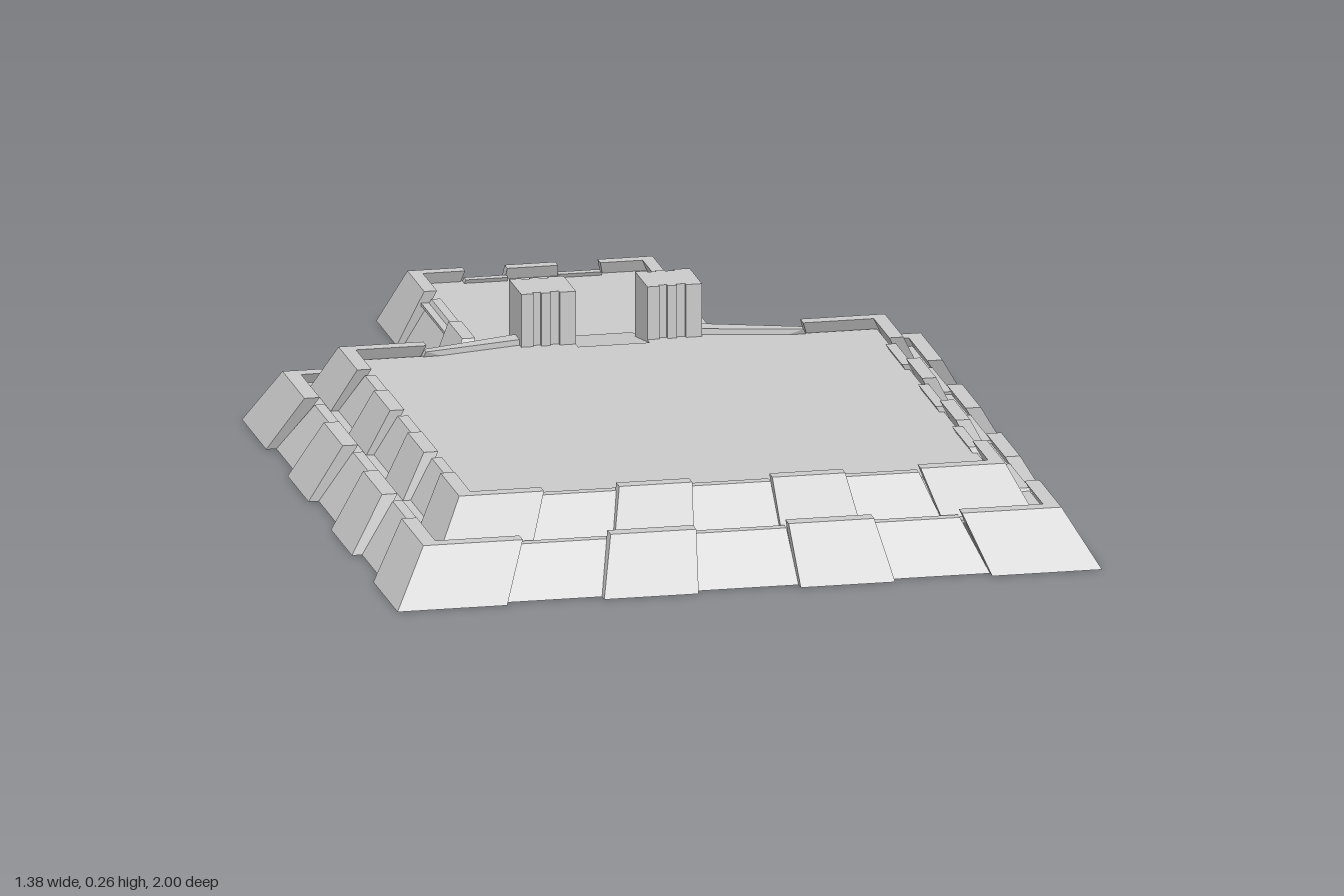
import * as THREE from 'three';
import { ConvexGeometry } from 'three/addons/geometries/ConvexGeometry.js';

const stone = new THREE.MeshStandardMaterial({ color: 0xcccccc, flatShading: true, side: THREE.DoubleSide });

function add(parent, name, geometry, x = 0, y = 0, z = 0) {
  const mesh = new THREE.Mesh(geometry, stone);
  mesh.name = name;
  mesh.position.set(x, y, z);
  parent.add(mesh);
  return mesh;
}

const hull = (points) => new ConvexGeometry(points.map((p) => new THREE.Vector3(...p)));

// One leaning wall block, facing local +z, on a square terrace of half-width H.
function wallBlock(parent, t, a, b, tall) {
  const recess = tall ? 0 : t.recess;
  const thick = t.thick - recess * 0.5;
  const top = tall ? t.y1 : t.y1 - t.drop;
  const points = [];
  for (const [y, half] of [[t.y0, t.H], [top, t.H - t.inset]]) {
    const outer = half - recess;
    for (const depth of [outer, outer - thick]) {
      for (const x of [a, b]) {
        // End blocks are mitred at the terrace corners.
        const atCorner = Math.abs(Math.abs(x) - t.H) < 1e-6;
        points.push([atCorner ? Math.sign(x) * depth : x * half / t.H, y, depth]);
      }
    }
  }
  add(parent, tall ? 'tallWallBlock' : 'lowWallBlock', hull(points));
}

// A wall run: edges split it into blocks, alternately tall and low.
function wall(parent, name, t, edges, turn, skip = []) {
  const run = new THREE.Group();
  run.name = name;
  run.rotation.y = turn;
  for (let i = 0; i < edges.length - 1; i++) {
    if (!skip.includes(i)) wallBlock(run, t, edges[i], edges[i + 1], i % 2 === 0);
  }
  parent.add(run);
}

function terrace(parent, name, z) {
  const g = new THREE.Group();
  g.name = name;
  g.position.z = z;
  parent.add(g);
  return g;
}

export function createModel() {
  const model = new THREE.Group();
  model.name = 'terracedPlatform';
  const Q = Math.PI / 2;

  // Lower terrace
  const low = { H: 0.69, y0: 0, y1: 0.11, inset: 0.065, recess: 0.02, drop: 0.014, thick: 0.03 };
  const lowEdges = [-0.69, -0.475, -0.285, -0.1, 0.1, 0.285, 0.475, 0.69];
  const lower = terrace(model, 'lowerTerrace', 0.31);
  [0, Q, -Q].forEach((r) => wall(lower, 'lowerWall', low, lowEdges, r));
  wall(lower, 'lowerBackWall', low, lowEdges, Math.PI, [2, 3, 4]);
  add(lower, 'lowerDeck', new THREE.BoxGeometry(1.21, 0.006, 1.21), 0, 0.087, 0);

  // Upper terrace
  const high = { H: 0.58, y0: 0.09, y1: 0.178, inset: 0.045, recess: 0.015, drop: 0.012, thick: 0.028 };
  const highEdges = [-0.58, -0.4, -0.24, -0.085, 0.085, 0.24, 0.4, 0.58];
  const upper = terrace(model, 'upperTerrace', 0.31);
  [0, Q, -Q].forEach((r) => wall(upper, 'upperWall', high, highEdges, r));
  wall(upper, 'upperBackWall', high, highEdges, Math.PI, [1, 2, 3, 4, 5]);
  add(upper, 'upperDeck', new THREE.BoxGeometry(1.03, 0.006, 1.03), 0, 0.152, 0);

  // Annex behind, open toward the gate
  const small = { H: 0.29, y0: 0, y1: 0.11, inset: 0.05, recess: 0.014, drop: 0.016, thick: 0.025 };
  const annex = terrace(model, 'annex', -0.71);
  wall(annex, 'annexBackWall', small, [-0.29, -0.16, -0.06, 0.06, 0.16, 0.29], Math.PI);
  wall(annex, 'annexLeftWall', small, [-0.299, -0.15, 0.11, 0.29], Q);
  wall(annex, 'annexRightWall', small, [-0.29, -0.11, 0.15, 0.299], -Q);
  add(annex, 'annexDeck', new THREE.BoxGeometry(0.49, 0.006, 0.53), 0, 0.083, 0.03);

  // Gate bridge: hollow trapezoid with wings falling to the ground
  const arch = new THREE.Shape([[-0.45, 0], [-0.2, 0.112], [0.2, 0.112], [0.45, 0], [0.39, 0], [0.19, 0.09], [-0.19, 0.09], [-0.39, 0]]
    .map((p) => new THREE.Vector2(...p)));
  add(model, 'gateBridge', new THREE.ExtrudeGeometry(arch, { depth: 0.085, bevelEnabled: false }), 0, 0, -0.41);

  // Ramp through the gate and the step onto the annex
  add(model, 'gateRamp', hull([-0.08, 0.08].flatMap((x) => [
    [x, 0.155, -0.2], [x, 0.095, -0.2], [x, 0.118, -0.41], [x, 0.095, -0.41]])));
  add(model, 'annexStep', hull([-1, 1].flatMap((s) => [
    [s * 0.08, 0.118, -0.41], [s * 0.1, 0.085, -0.41], [s * 0.1, 0.085, -0.45],
    [s * 0.07, 0.085, -0.47], [s * 0.07, 0.1, -0.46]])));

  // Ribbed gate pillar outline in plan: shallow slots front and back
  const slots = [[-0.03, -0.014], [0.004, 0.022]];
  const front = [[-0.0535, 0.055]];
  for (const [a, b] of slots) front.push([a, 0.055], [a, 0.047], [b, 0.047], [b, 0.055]);
  front.push([0.0535, 0.055]);
  const back = front.map(([x, z]) => [x, -z]).reverse();
  const plan = new THREE.Shape([...front, ...back].map((p) => new THREE.Vector2(...p)));
  const pillar = new THREE.ExtrudeGeometry(plan, { depth: 0.16, bevelEnabled: false });
  pillar.rotateX(-Q);

  for (const s of [-1, 1]) {
    add(model, 'gatePillar', pillar, s * 0.1235, 0.1, -0.28);
    // Upper back wall swings outward to meet the pillar
    add(model, 'flaredUpperWall', hull([
      [s * 0.4, 0.09, -0.255], [s * 0.4, 0.09, -0.225], [s * 0.37, 0.166, -0.215], [s * 0.37, 0.166, -0.195],
      [s * 0.16, 0.09, -0.33], [s * 0.16, 0.09, -0.24], [s * 0.16, 0.166, -0.285], [s * 0.16, 0.166, -0.245]]));
    // Deck behind the flared wall
    add(model, 'gateDeck', hull([
      [s * 0.37, 0.155, -0.2], [s * 0.07, 0.155, -0.2], [s * 0.07, 0.155, -0.26], [s * 0.16, 0.155, -0.26],
      [s * 0.37, 0.149, -0.2], [s * 0.07, 0.149, -0.2], [s * 0.07, 0.149, -0.26], [s * 0.16, 0.149, -0.26]]));
    // Sloping lower flank from the corner block to the bridge
    add(model, 'flaredLowerWall', hull([
      [s * 0.44, 0.095, -0.3], [s * 0.44, 0.08, -0.35], [s * 0.2, 0.112, -0.33],
      [s * 0.2, 0.09, -0.33], [s * 0.25, 0.09, -0.28]]));
  }
  return model;
}
